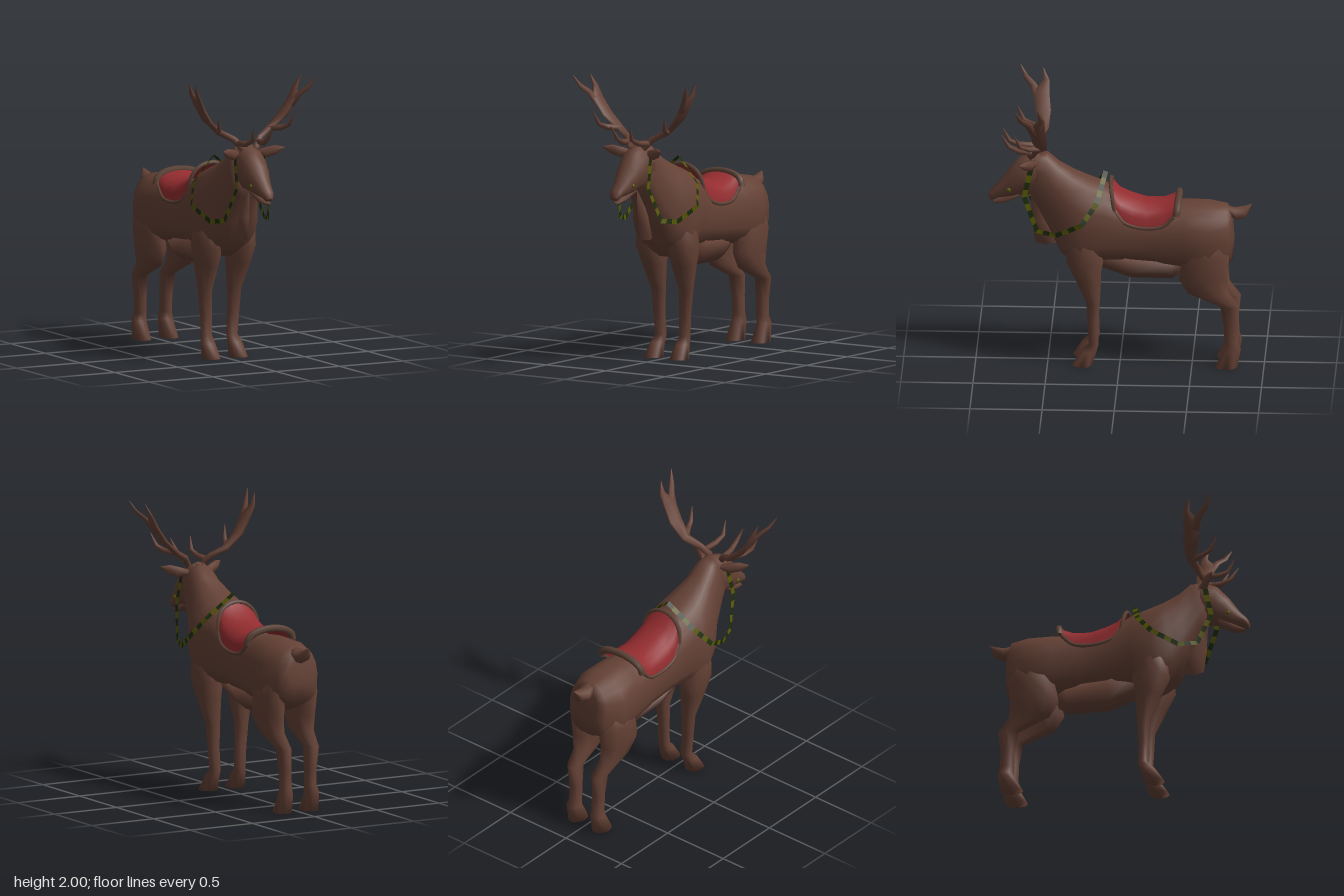
import * as THREE from 'three';

const V = (x, y, z) => new THREE.Vector3(x, y, z);
const mat = (name, color, side = THREE.FrontSide) => {
  const m = new THREE.MeshStandardMaterial({ color, side });
  m.name = name;
  return m;
};

// Closed skin through equal-sized rings of points, always facing outward
function loft(rings) {
  const n = rings[0].length, pts = rings.flat(), idx = [];
  for (let i = 0; i < rings.length - 1; i++)
    for (let j = 0; j < n; j++) {
      const a = i * n + j, b = i * n + (j + 1) % n;
      idx.push(a, b, a + n, b, b + n, a + n);
    }
  const last = (rings.length - 1) * n;
  for (let j = 1; j < n - 1; j++) idx.push(0, j + 1, j, last, last + j, last + j + 1);
  let volume = 0;
  for (let i = 0; i < idx.length; i += 3)
    volume += pts[idx[i]].dot(pts[idx[i + 1]].clone().cross(pts[idx[i + 2]]));
  if (volume < 0) idx.reverse();
  const g = new THREE.BufferGeometry().setFromPoints(pts);
  g.setIndex(idx);
  g.computeVertexNormals();
  return g;
}

// Rounded ring; powers below 1 make the upper or lower half fuller
const ellipse = (c, a, b, n, upper = 1, lower = 1) => Array.from({ length: n }, (_, i) => {
  const t = (i / n) * Math.PI * 2;
  const f = (v) => Math.sign(v) * Math.pow(Math.abs(v), Math.sin(t) > 0 ? upper : lower);
  return c.clone().addScaledVector(a, f(Math.cos(t))).addScaledVector(b, f(Math.sin(t)));
});

// Sections given by a top point, a bottom point and a half width: [topZ, topY, bottomZ, bottomY, w]
const spine = (rows, n, upper, lower) => loft(rows.map(([tz, ty, bz, by, w]) =>
  ellipse(V(0, (ty + by) / 2, (tz + bz) / 2), V(w, 0, 0), V(0, (ty - by) / 2, (tz - bz) / 2), n, upper, lower)));

// Level sections: [x, y, z, halfWidthX, halfWidthZ]
const limb = (rows, s = 1, n = 10) => loft(rows.map(([x, y, z, rx, rz]) =>
  ellipse(V(x * s, y, z), V(rx, 0, 0), V(0, 0, rz), n)));

// Sections square to a path: [x, y, z, thickness, breadth towards ref]
function branch(rows, s, ref, n = 6) {
  const p = rows.map((r) => V(r[0] * s, r[1], r[2]));
  return loft(rows.map((r, i) => {
    const t = p[Math.min(i + 1, p.length - 1)].clone().sub(p[Math.max(i - 1, 0)]).normalize();
    const b = ref.clone().addScaledVector(t, -ref.dot(t)).normalize();
    const a = t.clone().cross(b);
    return ellipse(p[i], a.multiplyScalar(r[3]), b.multiplyScalar(r[4] ?? r[3]), n);
  }));
}

export function createModel() {
  const model = new THREE.Group();
  model.name = 'saddledStag';
  const hide = mat('brown hide', 0x644135);
  const leather = mat('saddle leather', 0x5c4236);
  const red = mat('red saddle cloth', 0x922c2f, THREE.DoubleSide);
  const darkGreen = mat('dark green rein', 0x1c2b0a, THREE.DoubleSide);
  const olive = mat('olive rein', 0x575803, THREE.DoubleSide);
  const add = (name, geometry, material) => {
    const m = new THREE.Mesh(geometry, material);
    m.name = name;
    model.add(m);
    return m;
  };

  // Torso and neck in one skin
  add('body', spine([
    [-0.77, 1.12, -0.79, 0.9, 0.09], [-0.74, 1.165, -0.78, 0.76, 0.165],
    [-0.62, 1.185, -0.62, 0.69, 0.222], [-0.45, 1.19, -0.45, 0.72, 0.208],
    [-0.25, 1.17, -0.25, 0.745, 0.182], [-0.05, 1.21, -0.05, 0.765, 0.19],
    [0.1, 1.31, 0.12, 0.76, 0.215], [0.22, 1.355, 0.28, 0.71, 0.238],
    [0.32, 1.40, 0.41, 0.81, 0.2], [0.42, 1.46, 0.49, 0.98, 0.145],
    [0.5, 1.53, 0.59, 1.17, 0.115], [0.58, 1.535, 0.63, 1.24, 0.1],
  ], 18, 0.92, 0.72), hide);

  // Head and lower jaw
  add('head', spine([
    [0.48, 1.51, 0.54, 1.26, 0.09], [0.58, 1.545, 0.6, 1.22, 0.108], [0.69, 1.5, 0.66, 1.22, 0.102],
    [0.77, 1.41, 0.72, 1.21, 0.085], [0.84, 1.31, 0.785, 1.2, 0.06],
    [0.9, 1.245, 0.85, 1.195, 0.047], [0.915, 1.2, 0.885, 1.175, 0.03],
  ], 12, 0.92, 0.92), hide);
  add('lowerJaw', spine([
    [0.7, 1.26, 0.7, 1.2, 0.06], [0.81, 1.205, 0.8, 1.155, 0.042], [0.875, 1.17, 0.88, 1.15, 0.026],
  ], 8), hide);

  add('tail', spine([
    [-0.72, 1.165, -0.76, 1.08, 0.045], [-0.79, 1.14, -0.82, 1.05, 0.058],
    [-0.86, 1.155, -0.88, 1.075, 0.045], [-0.912, 1.172, -0.907, 1.155, 0.008],
  ], 8), hide);

  // Hanging fur at the throat and under the belly
  add('throatFur', limb([
    [0, 1.22, 0.57, 0.01, 0.05], [0, 1.02, 0.53, 0.028, 0.08], [0, 0.862, 0.51, 0.042, 0.08],
  ], 1, 4), hide);
  add('bellyFur', loft([
    [0.13, 0.13, 0.85, 0.685], [-0.07, 0.13, 0.79, 0.612], [-0.36, 0.12, 0.77, 0.608], [-0.43, 0.07, 0.75, 0.66],
  ].map(([z, w, top, low]) => [V(-w, top, z), V(w, top, z), V(0.065, low + 0.05, z), V(0, low, z),
    V(-0.065, low + 0.05, z)])), hide);

  for (const [side, s] of [['left', 1], ['right', -1]]) {
    add(side + 'FrontLeg', limb([
      [0.11, 1.04, 0.23, 0.09, 0.08], [0.126, 0.9, 0.25, 0.104, 0.115], [0.13, 0.78, 0.24, 0.103, 0.135],
      [0.125, 0.65, 0.222, 0.085, 0.09],
      [0.115, 0.47, 0.185, 0.052, 0.046], [0.108, 0.3, 0.186, 0.044, 0.036], [0.1, 0.15, 0.18, 0.042, 0.036],
      [0.105, 0.1, 0.212, 0.05, 0.055], [0.107, 0, 0.26, 0.065, 0.072],
    ], s), hide);
    add(side + 'HindLeg', limb([
      [0.1, 1.0, -0.6, 0.09, 0.14], [0.125, 0.82, -0.6, 0.095, 0.17], [0.126, 0.66, -0.578, 0.085, 0.175],
      [0.118, 0.55, -0.615, 0.066, 0.145], [0.11, 0.45, -0.765, 0.05, 0.07], [0.102, 0.3, -0.77, 0.043, 0.05],
      [0.1, 0.18, -0.775, 0.042, 0.05], [0.105, 0.13, -0.785, 0.05, 0.058], [0.107, 0, -0.74, 0.063, 0.08],
    ], s), hide);

    // Leaf-shaped ear
    add(side + 'Ear', branch([
      [0.07, 1.475, 0.58, 0.02, 0.018], [0.13, 1.475, 0.62, 0.024, 0.04],
      [0.19, 1.495, 0.65, 0.02, 0.036], [0.24, 1.51, 0.685, 0.004, 0.006],
    ], s, V(0, 1, 0)), hide);

    // Antler: palmed beam, forked tip and two tines
    const antler = new THREE.Group();
    antler.name = side + 'Antler';
    model.add(antler);
    const zAxis = V(0, 0, 1), xAxis = V(1, 0, 0);
    const parts = {
      beam: [[[0.05, 1.51, 0.62, 0.024], [0.1, 1.575, 0.58, 0.023], [0.2, 1.63, 0.535, 0.022, 0.036],
        [0.3, 1.72, 0.545, 0.02, 0.06], [0.37, 1.83, 0.56, 0.018, 0.062],
        [0.41, 1.91, 0.53, 0.014, 0.026], [0.44, 1.99, 0.552, 0.003]], zAxis],
      forkTine: [[[0.35, 1.79, 0.575, 0.016, 0.04], [0.4, 1.875, 0.62, 0.015, 0.026],
        [0.44, 1.92, 0.67, 0.012, 0.02], [0.477, 1.995, 0.71, 0.003]], zAxis],
      middleTine: [[[0.2, 1.63, 0.54, 0.022], [0.25, 1.64, 0.62, 0.02],
        [0.275, 1.665, 0.68, 0.016], [0.3, 1.755, 0.722, 0.003]], xAxis],
      browTine: [[[0.08, 1.55, 0.6, 0.022], [0.07, 1.558, 0.7, 0.02],
        [0.06, 1.59, 0.77, 0.016], [0.08, 1.68, 0.82, 0.003]], xAxis],
    };
    for (const [name, [rows, ref]] of Object.entries(parts)) {
      const m = new THREE.Mesh(branch(rows, s, ref), hide);
      m.name = name;
      antler.add(m);
    }

    // Small bit at the corner of the mouth
    const bit = add(side + 'Bit', new THREE.SphereGeometry(0.016, 8, 6), olive);
    bit.scale.set(0.6, 1, 1);
    bit.position.set(0.074 * s, 1.272, 0.77);
  }

  // Saddle cloth: arched rows [crown z, crown height, hem height, half width, hem z]
  const rows = [[0.06, 1.335, 1.15, 0.16, 0.03], [0.005, 1.272, 1.085, 0.174, -0.025],
    [-0.08, 1.232, 1.055, 0.18, -0.095], [-0.19, 1.197, 1.042, 0.18, -0.19],
    [-0.31, 1.2, 1.058, 0.18, -0.3], [-0.395, 1.228, 1.13, 0.175, -0.38]];
  const arch = ([z, top, hem, w, hemZ]) => Array.from({ length: 11 }, (_, j) => {
    const t = (j / 5 - 1) * Math.PI / 2, rise = Math.pow(Math.max(Math.cos(t), 0), 0.8);
    return V(w * Math.sin(t), hem + (top - hem) * rise, hemZ + (z - hemZ) * rise);
  });
  const arches = rows.map(arch), clothIndex = [];
  for (let i = 0; i < rows.length - 1; i++)
    for (let j = 0; j < 10; j++) {
      const a = i * 11 + j;
      clothIndex.push(a, a + 1, a + 11, a + 1, a + 12, a + 11);
    }
  const cloth = new THREE.BufferGeometry().setFromPoints(arches.flat());
  cloth.setIndex(clothIndex);
  cloth.computeVertexNormals();
  add('saddleCloth', cloth, red);

  // Leather rim: raised front and back arches, thinner hems
  const rim = (name, pts, r) => add(name,
    new THREE.TubeGeometry(new THREE.CatmullRomCurve3(pts), 20, r, 6), leather);
  rim('saddlePommel', arches[0].map((p) => p.clone().add(V(0, 0.006, 0.004))), 0.015);
  rim('saddleCantle', arches[5].map((p) => V(p.x * 1.04, p.y + 0.004, p.z - 0.014)), 0.025);
  rim('leftSaddleHem', arches.map((a) => a[10].clone()), 0.013);
  rim('rightSaddleHem', arches.map((a) => a[0].clone()), 0.013);

  // Reins: flat striped ribbon looping from behind the ears to above the withers
  const half = [[0, 1.395, 0.1], [0.19, 1.225, 0.155], [0.264, 1.085, 0.26], [0.215, 0.992, 0.44],
    [0.172, 1.01, 0.57], [0.125, 1.24, 0.66], [0.112, 1.45, 0.615]];
  const stripes = [[], []];
  for (const s of [1, -1]) {
    const path = half.map(([x, y, z]) => V(x * s, y, z));
    const across = path.slice(1).map((p, i) => p.clone().sub(path[i]).cross(V(1, 0, 0)).normalize());
    const edge = path.map((p, i) => across[Math.max(i - 1, 0)].clone()
      .add(across[Math.min(i, across.length - 1)]).normalize().multiplyScalar(0.018));
    let count = 0;
    for (let i = 0; i < path.length - 1; i++) {
      const n = Math.max(2, Math.round(path[i].distanceTo(path[i + 1]) / 0.05));
      const at = (k, d) => path[i].clone().lerp(path[i + 1], k / n)
        .addScaledVector(edge[i].clone().lerp(edge[i + 1], k / n), d);
      for (let k = 0; k < n; k++) {
        const [a, b, c, d] = [at(k, -1), at(k, 1), at(k + 1, 1), at(k + 1, -1)];
        stripes[count++ % 2].push(a, b, c, a, c, d);
      }
    }
  }
  stripes.forEach((pts, i) => {
    const g = new THREE.BufferGeometry().setFromPoints(pts);
    g.computeVertexNormals();
    add(i ? 'reinOliveStripes' : 'reinDarkStripes', g, i ? olive : darkGreen);
  });

  return model;
}
